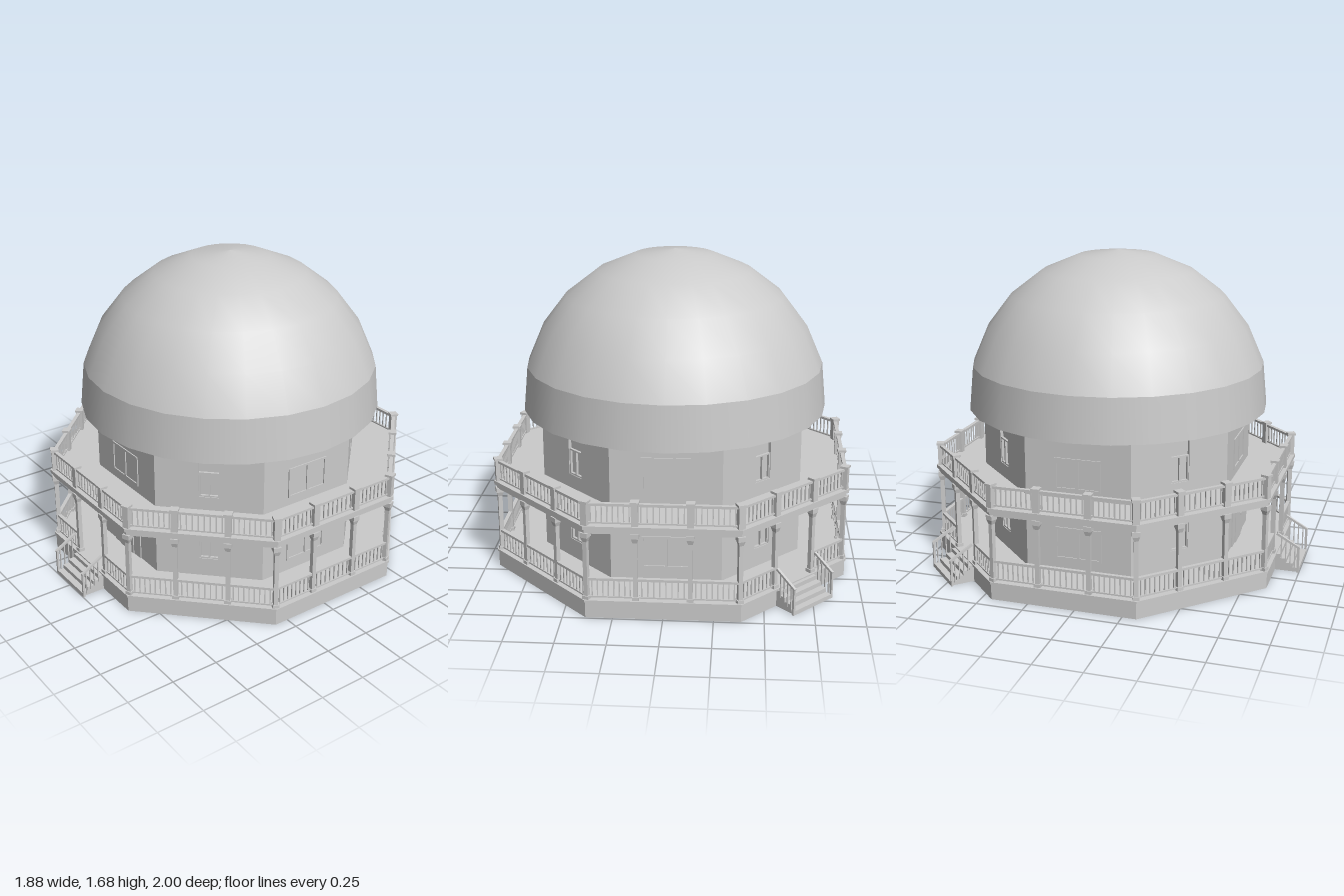
import * as THREE from 'three';

const GREY = new THREE.MeshStandardMaterial({ color: 0xcccccc, flatShading: true });
const SMOOTH = new THREE.MeshStandardMaterial({ color: 0xcccccc, side: THREE.DoubleSide });
const OUTER = 0.937, RAIL = 0.912, WALL = 0.685;
const halfSide = (apothem) => apothem * Math.tan(Math.PI / 8);

function add(parent, name, geometry, material = GREY) {
  const mesh = new THREE.Mesh(geometry, material);
  mesh.name = name;
  parent.add(mesh);
  return mesh;
}

// Box given by its ranges in x, y and z
function box(parent, name, x0, x1, y0, y1, z0, z1) {
  const mesh = add(parent, name, new THREE.BoxGeometry(x1 - x0, y1 - y0, z1 - z0));
  mesh.position.set((x0 + x1) / 2, (y0 + y1) / 2, (z0 + z1) / 2);
  return mesh;
}

// Octagonal slab with a flat side facing +z
function octagon(parent, name, apothem, y0, y1) {
  const r = apothem / Math.cos(Math.PI / 8);
  const mesh = add(parent, name, new THREE.CylinderGeometry(r, r, y1 - y0, 8));
  mesh.rotation.y = Math.PI / 8;
  mesh.position.y = (y0 + y1) / 2;
}

// One wall panel with optional rectangular openings [x0, x1, y0, y1]
function wallPanel(parent, openings) {
  const h = halfSide(WALL), depth = 0.018;
  const hi = halfSide(WALL - depth);
  const shape = new THREE.Shape([[-h, 0.09], [h, 0.09], [h, 0.85], [-h, 0.85]].map(p => new THREE.Vector2(...p)));
  for (const [x0, x1, y0, y1] of openings)
    shape.holes.push(new THREE.Path([[x0, y0], [x0, y1], [x1, y1], [x1, y0]].map(p => new THREE.Vector2(...p))));
  const geometry = new THREE.ExtrudeGeometry(shape, { depth, bevelEnabled: false });
  // mitre the inner corners
  const p = geometry.attributes.position;
  for (let i = 0; i < p.count; i++)
    if (p.getZ(i) < 1e-6 && Math.abs(p.getX(i)) > h - 1e-4) p.setX(i, Math.sign(p.getX(i)) * hi);
  geometry.translate(0, 0, WALL - depth);
  add(parent, 'wallPanel', geometry);
}

// Raised frame around a rectangle, split into equal lights
function framed(parent, name, w, y0, y1, lights, z = WALL, t = 0.012) {
  const g = new THREE.Group();
  g.name = name;
  parent.add(g);
  const x = w / 2, z0 = z - 0.01, z1 = z + 0.006;
  box(g, 'frameHead', -x, x, y1 - t, y1, z0, z1);
  box(g, 'frameSill', -x, x, y0, y0 + t, z0, z1);
  for (let i = 0; i <= lights; i++) {
    const c = -x + t / 2 + (w - t) * i / lights;
    box(g, 'frameUpright', c - t / 2, c + t / 2, y0 + t, y1 - t, z0, z1);
  }
  return g;
}

// Railing between two posts
function railing(parent, x0, x1, y) {
  const g = new THREE.Group();
  g.name = 'railing';
  parent.add(g);
  box(g, 'topRail', x0, x1, y + 0.102, y + 0.115, RAIL - 0.01, RAIL + 0.01);
  box(g, 'bottomRail', x0, x1, y + 0.008, y + 0.016, RAIL - 0.006, RAIL + 0.006);
  const n = 9;
  for (let i = 1; i < n; i++) {
    const x = x0 + (x1 - x0) * i / n;
    box(g, 'baluster', x - 0.003, x + 0.003, y + 0.016, y + 0.102, RAIL - 0.003, RAIL + 0.003);
  }
}

// Column carrying the upper deck, with the railing post above it
function post(parent, x, z, turn) {
  const g = new THREE.Group();
  g.name = 'post';
  g.position.set(x, 0, z);
  g.rotation.y = turn;
  parent.add(g);
  const block = (name, w, y0, y1) => box(g, name, -w / 2, w / 2, y0, y1, -w / 2, w / 2);
  block('columnBase', 0.034, 0.095, 0.115);
  block('column', 0.023, 0.115, 0.43);
  block('columnCapital', 0.04, 0.43, 0.455);
  const bracket = add(g, 'columnBracket', new THREE.CylinderGeometry(0.026, 0.016, 0.025, 4, 1, false, Math.PI / 4));
  bracket.position.y = 0.418;
  block('railPost', 0.034, 0.49, 0.61);
  block('railPostCap', 0.044, 0.61, 0.622);
}

function stairs(parent) {
  const g = new THREE.Group();
  g.name = 'stairs';
  parent.add(g);
  const end = 1.06, steps = 4, run = (end - 0.92) / steps;
  for (let i = 0; i < steps; i++)
    box(g, 'step', -0.135, 0.135, 0, 0.0225 * (i + 1), 0.92, end - run * i);
  const length = end - OUTER, rise = 0.07;
  for (const s of [-1, 1]) {
    box(g, 'stairNewel', s * 0.14 - 0.006, s * 0.14 + 0.006, 0, 0.145, end - 0.012, end);
    for (let i = 1; i < 5; i++) {
      const z = end - length * i / 5;
      box(g, 'stairBaluster', s * 0.14 - 0.003, s * 0.14 + 0.003, 0.015 * i, 0.14 + rise * i / 5, z - 0.003, z + 0.003);
    }
    const rail = add(g, 'stairHandrail', new THREE.BoxGeometry(0.014, 0.012, Math.hypot(length, rise)));
    rail.position.set(s * 0.14, 0.14 + rise / 2, end - length / 2);
    rail.rotation.x = Math.atan2(rise, length);
  }
}

export function createModel() {
  const model = new THREE.Group();
  model.name = 'domedHouse';
  const house = new THREE.Group();
  house.name = 'house';
  house.position.z = -0.061;
  model.add(house);

  // Plinth, decks and building core
  octagon(house, 'plinth', 0.93, 0, 0.085);
  octagon(house, 'lowerDeck', OUTER, 0.085, 0.097);
  octagon(house, 'deckBeam', 0.925, 0.452, 0.475);
  octagon(house, 'upperDeck', OUTER, 0.475, 0.495);
  octagon(house, 'core', WALL - 0.017, 0.09, 0.85);

  // Eight sides
  for (let i = 0; i < 8; i++) {
    const side = new THREE.Group();
    side.name = 'side' + i;
    side.rotation.y = i * Math.PI / 4;
    house.add(side);

    const diagonal = i % 2 === 1, hasStairs = i === 0 || i === 5;
    wallPanel(side, diagonal ? [[-0.053, 0.053, 0.2, 0.43], [-0.053, 0.053, 0.57, 0.8]] : []);
    if (diagonal) {
      for (const y of [0.2, 0.57]) framed(side, 'recessedSash', 0.106, y, y + 0.14, 2, WALL - 0.01, 0.008);
    } else {
      if (i === 4) framed(side, 'balconyDoors', 0.25, 0.495, 0.76, 2);
      else framed(side, 'upperWindow', 0.25, 0.54, 0.71, 2);
      if (i === 0) {
        box(side, 'doorSurround', -0.13, 0.13, 0.095, 0.415, WALL - 0.01, WALL + 0.006);
        box(side, 'doorLintel', -0.14, 0.14, 0.415, 0.435, WALL - 0.01, WALL + 0.012);
        box(side, 'frontDoor', -0.065, 0.065, 0.095, 0.365, WALL, WALL + 0.011);
        box(side, 'doorHandle', 0.045, 0.053, 0.22, 0.235, WALL + 0.01, WALL + 0.018);
      } else framed(side, 'lowerWindow', 0.25, 0.16, 0.335, 2);
    }

    const h = halfSide(RAIL), inner = 0.135;
    post(side, -inner, RAIL, 0);
    post(side, inner, RAIL, 0);
    post(side, h, RAIL, Math.PI / 8);
    for (const [x0, x1] of [[-h, -inner], [-inner, inner], [inner, h]]) {
      railing(side, x0, x1, 0.495);
      if (!(hasStairs && x0 === -inner)) railing(side, x0, x1, 0.097);
    }
    if (hasStairs) stairs(side);
  }

  // Dome: lower band, rounded cap and flat soffit
  const lathe = (points) => new THREE.LatheGeometry(points.map(p => new THREE.Vector2(...p)), 24);
  add(house, 'domeBand', lathe([[0.82, 0.835], [0.797, 1.07]]), SMOOTH);
  add(house, 'domeCap', lathe([[0.797, 1.07], [0.71, 1.27], [0.58, 1.44], [0.41, 1.57], [0.212, 1.653], [0, 1.68]]), SMOOTH);
  const soffit = add(house, 'domeSoffit', new THREE.CircleGeometry(0.82, 24));
  soffit.rotation.x = Math.PI / 2;
  soffit.position.y = 0.836;
  return model;
}
